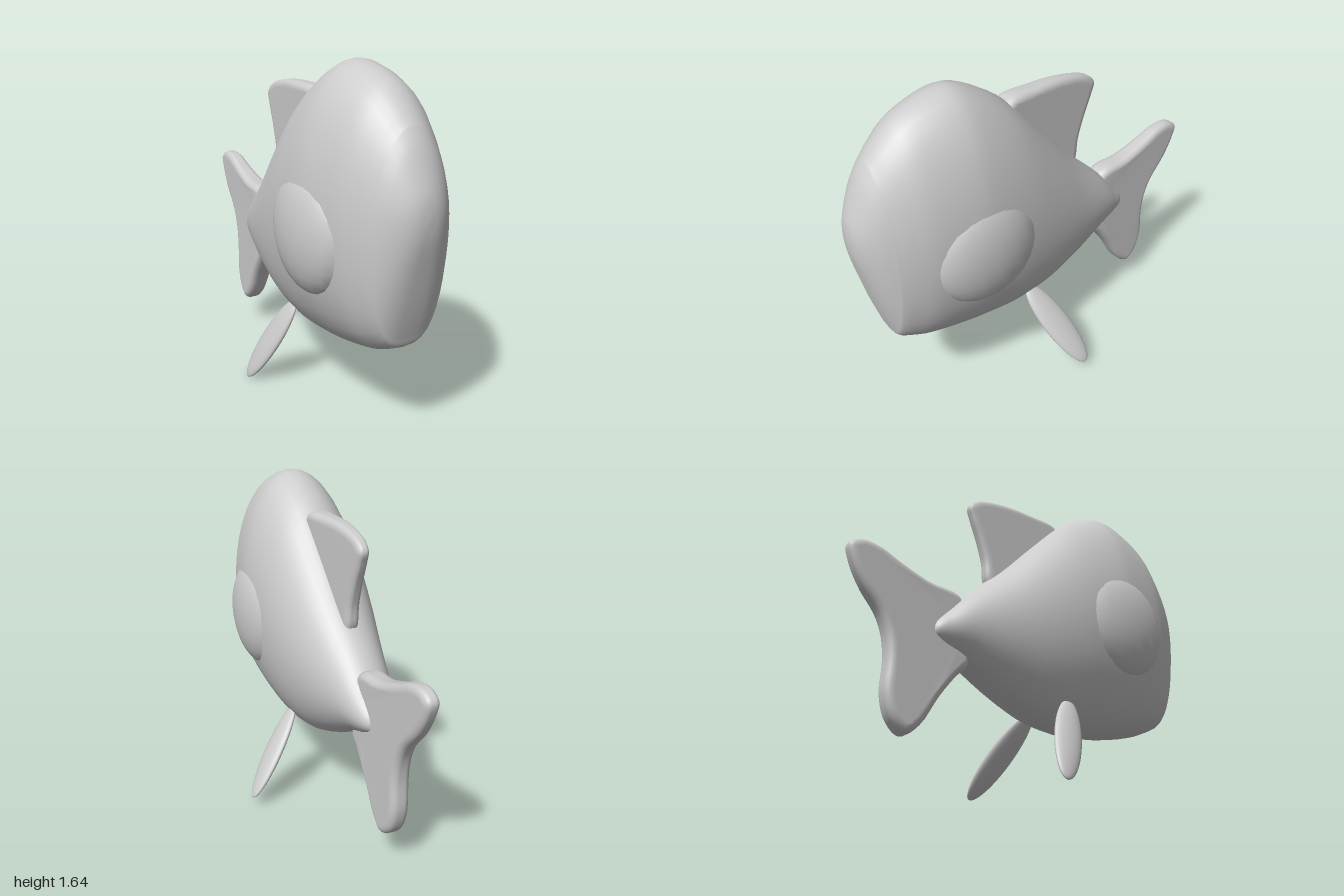
import * as THREE from 'three';
import { mergeVertices } from 'three/addons/utils/BufferGeometryUtils.js';

const MID = -0.05; // x of the fish's plane of symmetry
const material = new THREE.MeshStandardMaterial({ color: 0xcccccc });

function addMesh(parent, name, geometry) {
  const mesh = new THREE.Mesh(geometry, material);
  mesh.name = name;
  parent.add(mesh);
  return mesh;
}

function smooth(geometry) {
  geometry.deleteAttribute('uv');
  geometry.deleteAttribute('normal');
  const merged = mergeVertices(geometry, 1e-4);
  merged.computeVertexNormals();
  return merged;
}

// Body: oval cross-sections from the forehead to the tail root
function bodyGeometry() {
  // z, bottom y, top y, half width
  const sections = [
    [0.998, 1.07, 1.07, 0], [0.99, 0.98, 1.15, 0.055], [0.965, 0.86, 1.23, 0.105],
    [0.92, 0.67, 1.34, 0.155], [0.88, 0.53, 1.41, 0.185], [0.86, 0.482, 1.435, 0.197],
    [0.8, 0.45, 1.5, 0.225], [0.7, 0.41, 1.58, 0.262], [0.53, 0.367, 1.636, 0.293],
    [0.4, 0.345, 1.627, 0.3], [0.2, 0.33, 1.505, 0.285], [0, 0.36, 1.295, 0.25],
    [-0.2, 0.44, 1.07, 0.2], [-0.4, 0.54, 0.88, 0.14], [-0.5, 0.575, 0.77, 0.1],
    [-0.55, 0.6, 0.715, 0.075], [-0.572, 0.62, 0.68, 0.045], [-0.582, 0.65, 0.65, 0],
  ];
  const heights = new THREE.CatmullRomCurve3(sections.map(([z, b, t]) => new THREE.Vector3(z, b, t)), false, 'catmullrom');
  const widths = new THREE.CatmullRomCurve3(sections.map(([z, , , w]) => new THREE.Vector3(z, w, 0)), false, 'catmullrom');
  const rings = 68, sides = 40, position = [], index = [];
  for (let i = 0; i <= rings; i++) {
    const { x: z, y: bottom, z: top } = heights.getPoint(i / rings);
    const w = Math.max(0, widths.getPoint(i / rings).y);
    const chin = 1 - 0.3 * THREE.MathUtils.smoothstep(z, 0.4, 0.9); // squarer chin
    for (let j = 0; j < sides; j++) {
      const a = (j / sides) * Math.PI * 2, s = Math.sin(a), c = Math.cos(a);
      const x = w * Math.sign(s) * Math.pow(Math.abs(s), c < 0 ? chin : 1);
      position.push(MID + x, (top + bottom) / 2 + c * (top - bottom) / 2, z);
      if (i < rings) {
        const p = i * sides + j, q = i * sides + (j + 1) % sides;
        index.push(p, q, p + sides, q, q + sides, p + sides);
      }
    }
  }
  const geometry = new THREE.BufferGeometry();
  geometry.setAttribute('position', new THREE.Float32BufferAttribute(position, 3));
  geometry.setIndex(index);
  return smooth(geometry);
}

// Upright fin: rounded slab from a [z, y] outline, thinning from zFront to zBack
function finGeometry(outline, zFront, zBack, halfFront, halfBack) {
  const loop = new THREE.CatmullRomCurve3(outline.map(([z, y]) => new THREE.Vector3(z, y, 0)), true);
  const shape = new THREE.Shape(loop.getPoints(72).slice(0, -1).map((p) => new THREE.Vector2(p.x, p.y)));
  const geometry = new THREE.ExtrudeGeometry(shape, {
    depth: 0.6, bevelThickness: 0.7, bevelSize: 0.035, bevelOffset: -0.035, bevelSegments: 6,
  });
  geometry.translate(0, 0, -0.3).rotateY(-Math.PI / 2);
  const p = geometry.attributes.position;
  for (let i = 0; i < p.count; i++) {
    const t = THREE.MathUtils.clamp((p.getZ(i) - zFront) / (zBack - zFront), 0, 1);
    p.setX(i, MID + p.getX(i) * THREE.MathUtils.lerp(halfFront, halfBack, t));
  }
  return smooth(geometry);
}

// Side fin: flattened leaf stretched from root to tip
function addSideFin(parent, name, root, tip) {
  const a = new THREE.Vector3(...root), b = new THREE.Vector3(...tip);
  const along = b.clone().sub(a), length = along.length();
  along.normalize();
  const across = new THREE.Vector3(0, 0, 1).addScaledVector(along, -along.z).normalize();
  const normal = new THREE.Vector3().crossVectors(across, along);
  const leaf = new THREE.SphereGeometry(1, 24, 20).scale(0.028, length / 2, 0.075);
  // x = thickness, y = length, z = width
  leaf.applyMatrix4(new THREE.Matrix4().makeBasis(normal.negate(), along, across));
  addMesh(parent, name, leaf).position.copy(a.add(b).multiplyScalar(0.5));
}

export function createModel() {
  const fish = new THREE.Group();
  fish.name = 'fish';

  addMesh(fish, 'body', bodyGeometry());

  // Bulging eyes
  for (const side of [1, -1]) {
    const eye = addMesh(fish, side > 0 ? 'leftEye' : 'rightEye',
      new THREE.SphereGeometry(1, 20, 14).scale(0.12, 0.28, 0.28));
    eye.position.set(MID + side * 0.22, 0.905, 0.445);
  }

  addMesh(fish, 'dorsalFin', finGeometry([
    [0.17, 1.47], [0, 1.492], [-0.2, 1.482], [-0.33, 1.445], [-0.372, 1.4], [-0.355, 1.34],
    [-0.31, 1.23], [-0.275, 1.12], [-0.255, 1.0], [-0.15, 0.93], [0.05, 1.1], [0.16, 1.3],
  ], 0.17, -0.38, 0.062, 0.028));

  addMesh(fish, 'tailFin', finGeometry([
    [-0.43, 0.86], [-0.6, 0.885], [-0.75, 0.935], [-0.85, 0.975], [-0.94, 0.982], [-0.998, 0.945],
    [-0.98, 0.87], [-0.92, 0.765], [-0.83, 0.66], [-0.79, 0.57], [-0.775, 0.46], [-0.778, 0.31],
    [-0.74, 0.2], [-0.67, 0.148], [-0.6, 0.2], [-0.51, 0.35], [-0.43, 0.46], [-0.37, 0.53], [-0.37, 0.72],
  ], -0.5, -1, 0.06, 0.035));

  addSideFin(fish, 'leftSideFin', [0.09, 0.46, 0.15], [0.387, 0.055, -0.01]);
  addSideFin(fish, 'rightSideFin', [-0.19, 0.45, 0.15], [-0.372, 0.003, -0.045]);

  return fish;
}
